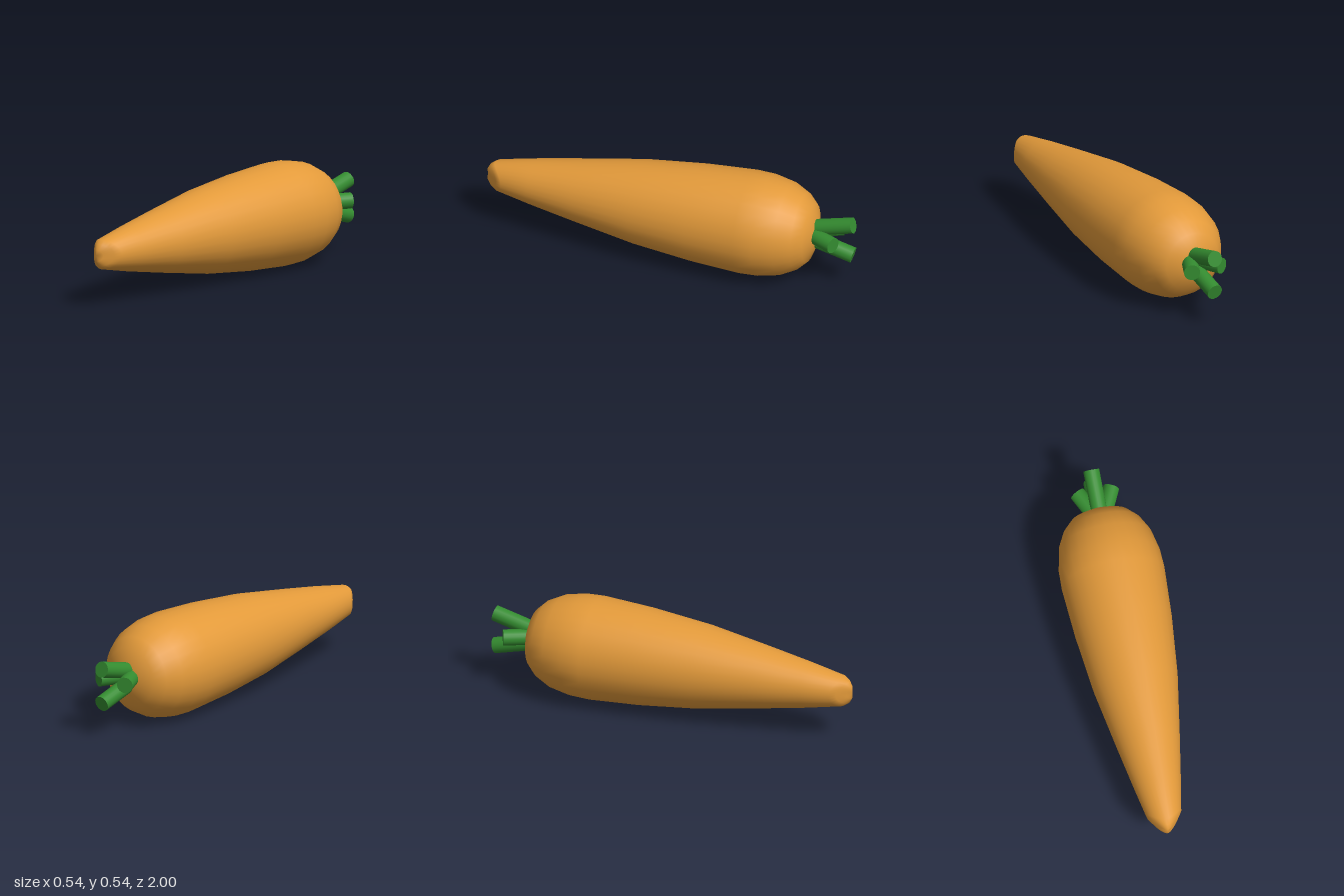
import * as THREE from 'three';
import { mergeVertices } from 'three/addons/utils/BufferGeometryUtils.js';

const AXIS_Y = 0.273;

// Root profile, crown to tip: [z, radius, lengthwise wave of the ring]
const PROFILE = [
  [-0.795, 0, 0], [-0.79, 0.075, 0], [-0.76, 0.155, 0], [-0.71, 0.204, 0],
  [-0.63, 0.245, 0], [-0.52, 0.268, 0], [-0.42, 0.272, 0], [-0.15, 0.256, 0],
  [0.17, 0.222, 0], [0.5, 0.166, 0], [0.75, 0.121, 0],
  [0.93, 0.085, 0.03], [0.96, 0.064, 0.025], [0.99, 0.032, 0.01], [1, 0, 0],
];

function rootGeometry() {
  const lathe = new THREE.LatheGeometry(PROFILE.map(([z, r]) => new THREE.Vector2(r, z)), 30);
  lathe.rotateX(Math.PI / 2);
  const pos = lathe.attributes.position;
  // The rounded tip reaches further forward at top and bottom than at the sides
  for (let i = 0; i < pos.count; i++) {
    const [z, r, wave] = PROFILE[i % PROFILE.length];
    if (wave === 0) continue;
    const x = pos.getX(i), y = pos.getY(i);
    const c = (y * y - x * x) / (r * r);
    const s = 1 - 2.8 * wave * c;
    pos.setXYZ(i, x * s, y * s, z + wave * c);
  }
  lathe.deleteAttribute('uv');
  lathe.deleteAttribute('normal');
  const geometry = mergeVertices(lathe, 1e-5);
  geometry.computeVertexNormals();
  return geometry;
}

// Straight round stalk between two points
function stalk(name, from, to, material) {
  const a = new THREE.Vector3(...from), b = new THREE.Vector3(...to);
  const dir = b.clone().sub(a);
  const mesh = new THREE.Mesh(new THREE.CylinderGeometry(0.042, 0.042, dir.length(), 20), material);
  mesh.name = name;
  mesh.position.copy(a).add(b).multiplyScalar(0.5);
  mesh.quaternion.setFromUnitVectors(new THREE.Vector3(0, 1, 0), dir.normalize());
  return mesh;
}

export function createModel() {
  const orange = new THREE.MeshStandardMaterial({ color: 0xe39a3a });
  orange.name = 'carrot orange';
  const green = new THREE.MeshStandardMaterial({ color: 0x348c30 });
  green.name = 'stalk green';

  const model = new THREE.Group();
  model.name = 'carrot';

  const root = new THREE.Mesh(rootGeometry(), orange);
  root.name = 'root';
  root.position.y = AXIS_Y;
  model.add(root);

  // Four stalks fan out of the crown: long upper and lower, short left and right
  const stalks = new THREE.Group();
  stalks.name = 'stalks';
  stalks.position.y = AXIS_Y + 0.004;
  for (const s of [1, -1]) {
    stalks.add(stalk(s > 0 ? 'upperStalk' : 'lowerStalk', [0, s * 0.03, -0.75], [0, s * 0.093, -0.989], green));
    stalks.add(stalk(s > 0 ? 'leftStalk' : 'rightStalk', [s * 0.018, 0.006, -0.76], [s * 0.089, 0.006, -0.908], green));
  }
  model.add(stalks);
  return model;
}
